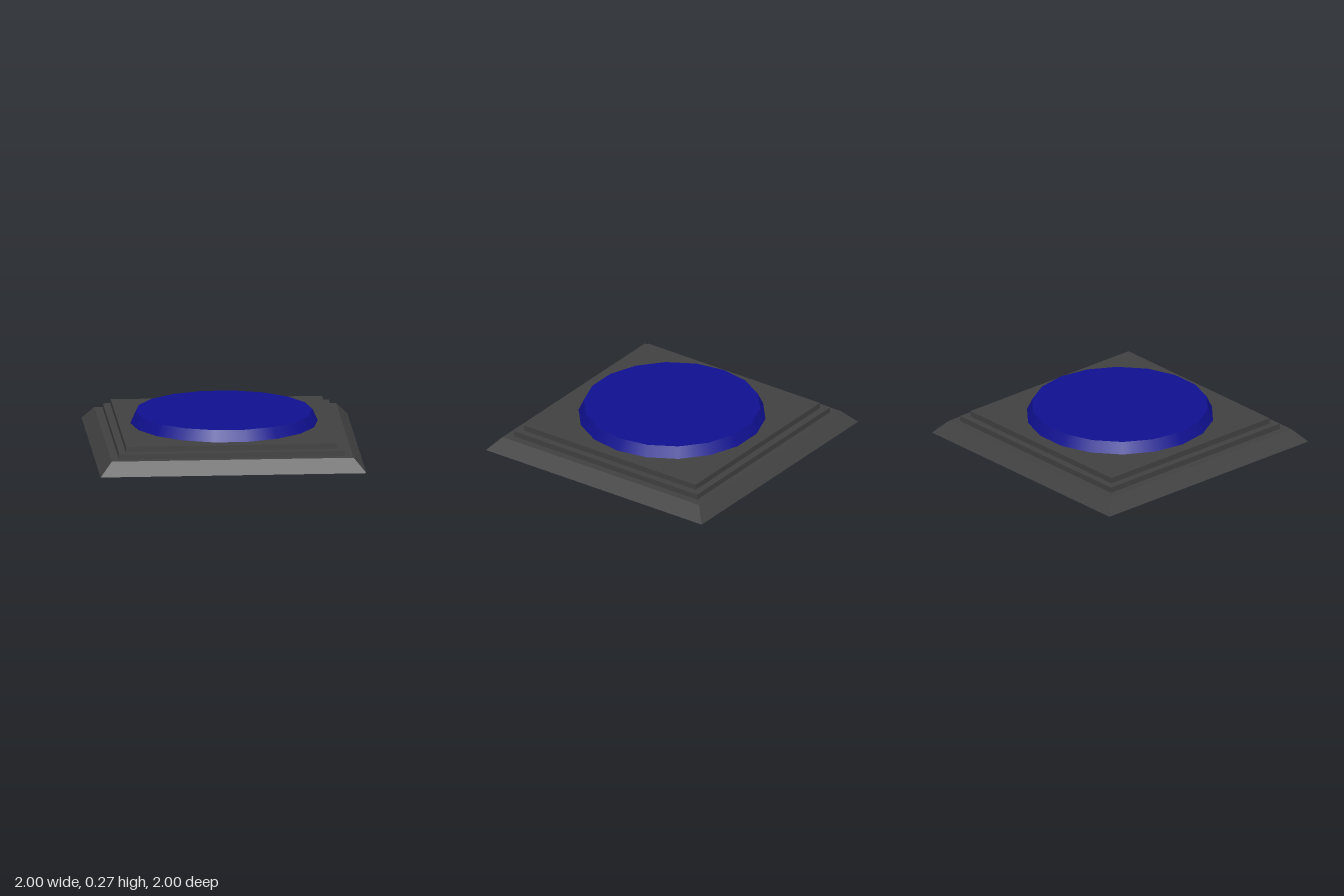
import * as THREE from 'three';

const SIDES = 18;

export function createModel() {
  const model = new THREE.Group();

  // Hollow square base: sloped skirt, two steps and a flat top, open underneath
  const profile = [[1, 0], [0.91, 0.1], [0.85, 0.1], [0.85, 0.142], [0.795, 0.142], [0.795, 0.185], [0, 0.185]]
    .map(([half, y]) => new THREE.Vector2(half * Math.SQRT2, y));
  const base = new THREE.Mesh(
    new THREE.LatheGeometry(profile, 4, Math.PI / 4),
    new THREE.MeshStandardMaterial({ color: 0x404040, flatShading: true, side: THREE.DoubleSide })
  );
  base.name = 'steppedBase';
  model.add(base);

  // Round button: tapered rim closed by a flat disc
  const blue = new THREE.MeshStandardMaterial({ color: 0x101090 });
  const button = new THREE.Group();
  button.name = 'button';
  const rim = new THREE.Mesh(
    new THREE.CylinderGeometry(0.665, 0.705, 0.085, SIDES, 1, true, Math.PI / 2), blue);
  rim.name = 'buttonRim';
  rim.position.y = 0.2275;
  const face = new THREE.Mesh(new THREE.CircleGeometry(0.665, SIDES), blue);
  face.name = 'buttonFace';
  face.rotation.x = -Math.PI / 2;
  face.position.y = 0.27;
  button.add(rim, face);
  model.add(button);

  return model;
}
